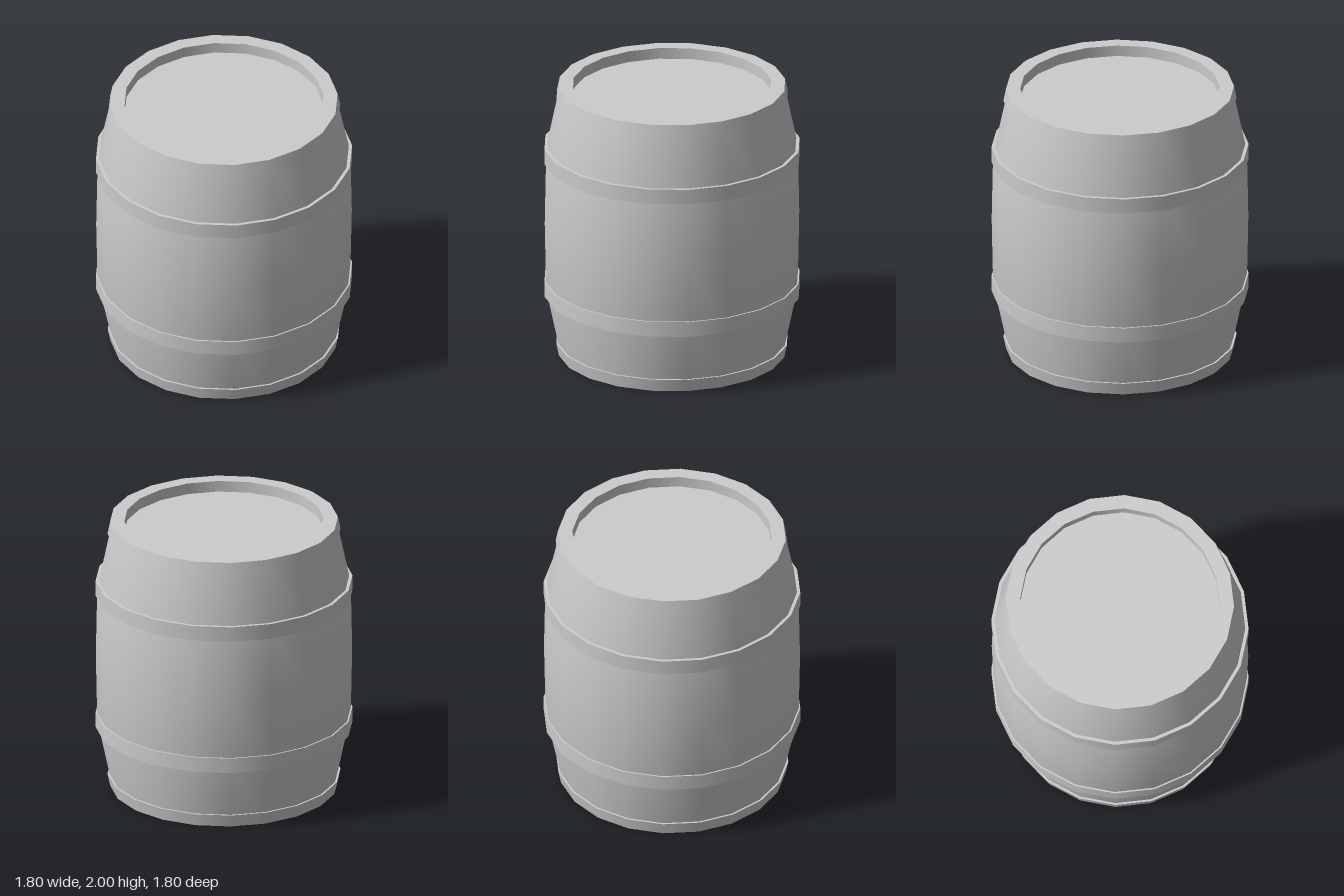
import * as THREE from 'three';
import { mergeGeometries } from 'three/addons/utils/BufferGeometryUtils.js';

const SIDES = 20;
const HEIGHT = 2;
const material = new THREE.MeshStandardMaterial({ color: 0xcccccc });

// Smooth surface of revolution; the profile runs upward for an outward face.
function lathe(points) {
  return new THREE.LatheGeometry(points.map(([r, y]) => new THREE.Vector2(r, y)), SIDES);
}

// Each profile edge is its own lathe, so corners between edges stay sharp.
function sharpLathe(points) {
  return mergeGeometries(points.slice(1).map((p, i) => lathe([points[i], p])));
}

// Mirrors a profile about mid height, keeping its facing.
function flip(points) {
  return points.map(([r, y]) => [r, HEIGHT - y]).reverse();
}

export function createModel() {
  const group = new THREE.Group();
  const add = (name, geometry) => {
    const mesh = new THREE.Mesh(geometry, material);
    mesh.name = name;
    group.add(mesh);
  };

  // Bulging wall
  add('staves', lathe([[0.785, 0], [0.89, 0.5], [0.9, 1], [0.89, 1.5], [0.785, 2]]));

  // Recessed head with its rim, end hoop and bulge hoop, on both ends
  const head = [[0, 0.08], [0.7, 0.08], [0.7, 0], [0.8, 0]];
  const endHoop = [[0.8, 0], [0.818, 0.09], [0.79, 0.09]];
  const bulgeHoop = [[0.86, 0.447], [0.902, 0.447], [0.902, 0.557], [0.86, 0.557]];
  for (const [end, place] of [['bottom', (p) => p], ['top', flip]]) {
    add(`${end}Head`, sharpLathe(place(head)));
    add(`${end}EndHoop`, sharpLathe(place(endHoop)));
    add(`${end}BulgeHoop`, sharpLathe(place(bulgeHoop)));
  }
  return group;
}
